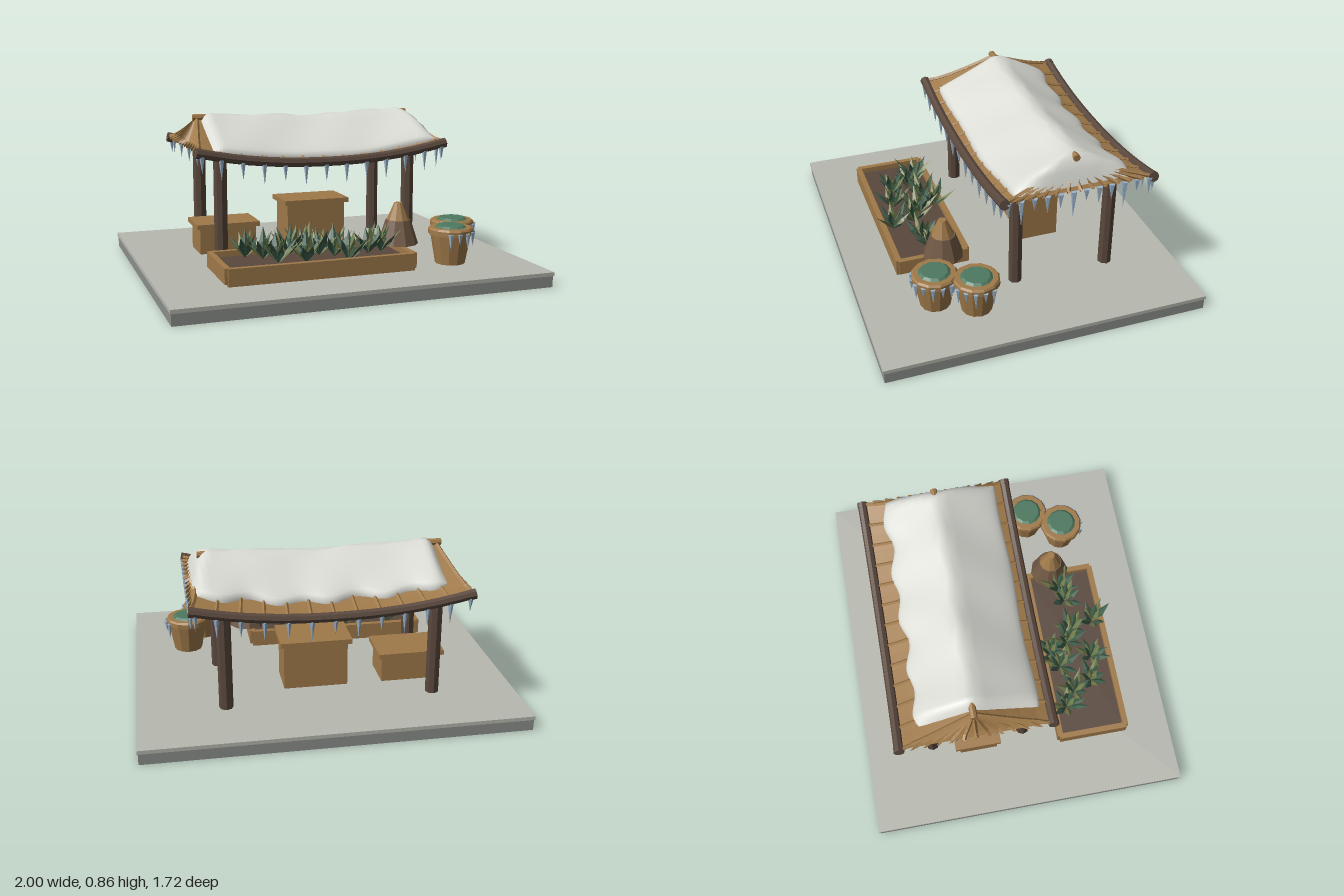
import * as THREE from 'three';
import { mergeGeometries } from 'three/addons/utils/BufferGeometryUtils.js';

const mat = (name, color, side = THREE.FrontSide) => {
  const m = new THREE.MeshStandardMaterial({ color, side });
  m.name = name;
  return m;
};
const V = (x, y, z) => new THREE.Vector3(x, y, z);

export function createModel() {
  const M = {
    slab: mat('paleStone', 0xb7b8b0), base: mat('greyStone', 0x8b8f8b),
    snow: mat('snow', 0xdcdcd6), wood: mat('tanWood', 0xa07a4a, THREE.DoubleSide),
    dark: mat('darkWood', 0x5a483d), soil: mat('soil', 0x62524a),
    bark: mat('brownThatch', 0x705844), ice: mat('ice', 0x9ab2c8),
    leafA: mat('darkLeaf', 0x3c5b48, THREE.DoubleSide), leafB: mat('oliveLeaf', 0x74804f, THREE.DoubleSide),
  };
  M.lid = mat('greenLid', 0x4e7860);
  M.soil = M.dark; // soil shares the dark brown
  const model = new THREE.Group();
  model.name = 'gardenShelter';

  let seed = 7;
  const rnd = () => (seed = (seed * 16807) % 2147483647) / 2147483647;

  // Facets a geometry and adds it as a named mesh
  const flat = (g) => {
    const f = g.index ? g.toNonIndexed() : g;
    f.computeVertexNormals();
    return f;
  };
  const add = (name, g, m, x = 0, y = 0, z = 0) => {
    const mesh = new THREE.Mesh(g, m);
    mesh.name = name;
    mesh.position.set(x, y, z);
    model.add(mesh);
    return mesh;
  };
  // Box given by its extents
  const box = (name, m, x0, x1, y0, y1, z0, z1) => add(name,
    new THREE.BoxGeometry(x1 - x0, y1 - y0, z1 - z0), m, (x0 + x1) / 2, (y0 + y1) / 2, (z0 + z1) / 2);
  // Grid surface from a rule f(i, j) -> Vector3
  const grid = (f, nu, nv, wrap = false) => {
    const pos = [], idx = [], row = nv + 1;
    for (let i = 0; i <= nu; i++) for (let j = 0; j <= nv; j++) pos.push(...f(i / nu, j / nv).toArray());
    for (let i = 0; i < nu; i++) for (let j = 0; j < nv; j++) {
      const k = wrap && j === nv - 1 ? 0 : j + 1;
      const a = i * row + j, b = a + row, c = i * row + k, d = c + row;
      idx.push(a, b, c, b, d, c);
    }
    const g = new THREE.BufferGeometry();
    g.setAttribute('position', new THREE.Float32BufferAttribute(pos, 3));
    g.setIndex(idx);
    g.computeVertexNormals();
    return g;
  };
  const tube = (pts, r, sides, n = 5) =>
    flat(new THREE.TubeGeometry(new THREE.CatmullRomCurve3(pts), n, r, sides));

  // Stone base
  box('baseFoot', M.base, -0.995, 0.995, 0, 0.06, -0.855, 0.855);
  box('baseSlab', M.slab, -1, 1, 0.06, 0.08, -0.86, 0.86);

  // Posts
  for (const x of [-0.56, 0.54]) for (const z of [0.03, -0.49])
    add('post', flat(new THREE.CylinderGeometry(0.037, 0.037, 0.61, 8)), M.dark, x, 0.385, z);

  // Roof shape: curved eaves and ridge, concave slopes
  const ZC = -0.245, HALF = 0.4;
  const eaveY = (u) => 0.612 + 0.073 * Math.abs(u) ** 2.2;
  const ridgeY = (u) => 0.79 + 0.037 * u * u;
  const drop = (u, v) => eaveY(u) + (ridgeY(u) - eaveY(u)) * Math.max(0, 1 - v) ** 1.3;
  const slope = (side, u, v) => V(u * (0.62 + 0.08 * v), drop(u, v), ZC + side * HALF * v);
  const hip = (side, s, t) => V(side * (0.62 + 0.08 * t), drop(1, t), ZC + HALF * s * t);
  const lift = (p, d) => V(p.x, p.y + d, p.z);
  const steps = [0, 0.25, 0.5, 0.75, 1];

  for (const side of [-1, 1]) {
    add('roofSlope', flat(grid((a, b) => slope(side, a * 2 - 1, b), 16, 5)), M.wood);
    add('roofEnd', flat(grid((a, b) => hip(side, a * 2 - 1, b), 10, 4)), M.wood);
    const ribs = [];
    for (let i = 0; i <= 12; i++)
      ribs.push(tube(steps.map((v) => lift(slope(side, i / 6 - 1, v), 0.004)), 0.009, 4));
    for (let i = 0; i <= 12; i++)
      ribs.push(tube([...steps, 1.12].map((t) => lift(hip(side, i / 6 - 1, Math.min(t, 1)), 0.004)
        .add(V(t > 1 ? side * 0.012 : 0, 0, 0))), 0.011, 4));
    add('roofRibs', mergeGeometries(ribs), M.wood);

    // Curved eave beam with capped ends
    const line = [];
    for (let i = 0; i <= 10; i++) line.push(slope(side, i / 5 - 1, 1));
    add('eaveBeam', tube(line, 0.026, 8, 16), M.dark);
    for (const e of [-1, 1]) {
      const cap = add('eaveBeamEnd', flat(new THREE.CylinderGeometry(0.028, 0.028, 0.03, 8)),
        M.dark, e * 0.7, 0.684, ZC + side * HALF);
      cap.rotation.z = Math.PI / 2 + e * 0.2;
    }
    // Ridge pole end
    const knob = add('ridgeEnd', flat(new THREE.CylinderGeometry(0.019, 0.019, 0.08, 8)), M.wood, side * 0.605, 0.834, ZC);
    knob.rotation.z = Math.PI / 2;
  }
  add('ridgePole', tube([-1, -0.5, 0, 0.5, 1].map((u) => V(u * 0.6, ridgeY(u) + 0.006, ZC)), 0.018, 8, 10), M.wood);

  // Snow blanket: rounded cross-sections laid along the roof
  const snowRule = (a, b) => {
    const x = -0.605 + 1.295 * a, ang = b * Math.PI * 2;
    const front = 0.1 + 0.006 * Math.sin(x * 9);
    const back = -0.532 - 0.016 * Math.cos(x * 23) - 0.006 * Math.sin(x * 11);
    const ends = Math.min(1, Math.sqrt(a * 26), Math.sqrt((1 - a) * 20));
    const z = (front + back) / 2 + Math.cos(ang) * (front - back) / 2 * (0.97 + 0.03 * ends);
    const cap = 0.866 - 0.11 * (Math.max(0, x - 0.57) / 0.12) ** 2 + 0.004 * Math.sin(x * 8);
    const under = Math.min(drop(x / 0.68, Math.abs(z - ZC) / HALF), cap - 0.05);
    const s = Math.sin(ang);
    const thick = 0.056 * ends * (1 + 0.08 * Math.sin(x * 13 + z * 9));
    return V(x, s > 0 ? Math.min(under + thick * s ** 0.55, cap) : under + 0.002, z);
  };
  add('snowBlanket', grid(snowRule, 54, 40, true), M.snow);

  // Icicles hanging along all eaves
  const icicle = (x, y, z, len, r) => {
    const g = new THREE.ConeGeometry(r, len, 5).rotateX(Math.PI);
    return flat(g.translate(x, y - len / 2, z));
  };
  const eaveIce = [];
  for (const side of [-1, 1]) for (let i = 0; i <= 12; i++) {
    const p = slope(side, Math.max(-0.98, Math.min(0.98, i / 6 - 1)), 1);
    eaveIce.push(icicle(p.x, p.y - 0.015, p.z + side * 0.01, i % 2 ? 0.11 : 0.07 + rnd() * 0.03, 0.015));
  }
  for (let i = 0; i <= 11; i++) {
    const s = i / 5.5 - 1;
    eaveIce.push(icicle(0.705, 0.685, ZC + HALF * s * 0.95, [0.1, 0.07, 0.15, 0.09][i % 4], 0.017));
    if (i % 3 === 1) eaveIce.push(icicle(-0.69, 0.685, ZC + HALF * s * 0.95, 0.08, 0.013));
  }
  add('eaveIcicles', mergeGeometries(eaveIce), M.ice);

  // Storage chests
  const chest = (x0, x1, top) => {
    box('chestBody', M.wood, x0 + 0.02, x1 - 0.02, 0.08, top - 0.026, -0.34, -0.13);
    box('chestLid', M.wood, x0, x1, top - 0.026, top, -0.365, -0.11);
  };
  chest(-0.15, 0.235, 0.355);
  chest(-0.66, -0.3, 0.25);

  // Planter
  box('planterFront', M.wood, -0.67, 0.32, 0.09, 0.18, 0.59, 0.62);
  box('planterBack', M.wood, -0.67, 0.32, 0.09, 0.18, 0.215, 0.245);
  box('planterLeftEnd', M.wood, 0.305, 0.335, 0.1, 0.181, 0.227, 0.608);
  box('planterRightEnd', M.wood, -0.685, -0.655, 0.1, 0.181, 0.227, 0.608);
  box('planterSoil', M.soil, -0.66, 0.31, 0.085, 0.15, 0.24, 0.595);

  // Folded leaf pointing up, then leaned and turned
  const leaf = (len, w, lean, turn) => {
    const g = new THREE.BufferGeometry();
    g.setAttribute('position', new THREE.Float32BufferAttribute([
      0, 0, 0, w, len * 0.5, 0.008, 0, len * 0.5, -0.004, 0, 0, 0, 0, len * 0.5, -0.004, -w, len * 0.5, 0.008,
      w, len * 0.5, 0.008, 0, len, 0.012, 0, len * 0.5, -0.004, 0, len * 0.5, -0.004, 0, len, 0.012, -w, len * 0.5, 0.008], 3));
    g.computeVertexNormals();
    return g.rotateX(lean).rotateY(turn);
  };
  const clumps = [[-0.5, 0.3], [-0.42, 0.36], [-0.37, 0.47], [-0.26, 0.31], [-0.17, 0.27], [-0.23, 0.5],
    [-0.12, 0.38], [-0.05, 0.42], [-0.02, 0.55], [0.14, 0.42], [0.22, 0.4]];
  for (const [x, z] of clumps) {
    const sets = [[], []];
    for (let k = 0; k < 11; k++) {
      const inner = k > 6;
      sets[k % 2].push(leaf(0.13 + rnd() * 0.05, 0.018 + rnd() * 0.005,
        inner ? 0.1 + rnd() * 0.25 : 0.45 + rnd() * 0.3, k * 0.9 + rnd() * 0.5));
    }
    add('plantDarkLeaves', mergeGeometries(sets[0]), M.leafA, x, 0.15, z);
    add('plantOliveLeaves', mergeGeometries(sets[1]), M.leafB, x, 0.15, z);
  }

  // Conical cover on the planter rim
  add('coneSkirt', flat(new THREE.CylinderGeometry(0.068, 0.11, 0.13, 10)), M.bark, 0.335, 0.245, 0.365);
  add('coneTop', flat(new THREE.CylinderGeometry(0.022, 0.062, 0.092, 10)), M.wood, 0.335, 0.356, 0.365);

  // Pots with lids and icicles
  const profile = [[0, 0.08], [0.08, 0.08], [0.108, 0.238], [0.121, 0.24], [0.121, 0.266], [0.112, 0.276], [0.088, 0.276], [0, 0.27]]
    .map(([r, y]) => new THREE.Vector2(r, y));
  for (const [x, z] of [[0.695, 0.295], [0.59, 0.485]]) {
    add('pot', flat(new THREE.LatheGeometry(profile, 12)), M.wood, x, 0, z);
    add('potLid', flat(new THREE.CylinderGeometry(0.07, 0.093, 0.018, 12)), M.lid, x, 0.278, z);
    const ice = [];
    for (let k = 0; k < 7; k++) {
      const a = -0.5 + k * 0.42;
      ice.push(icicle(0.12 * Math.cos(a), 0.255, 0.12 * Math.sin(a), k % 2 ? 0.06 : 0.09, 0.014));
    }
    add('potIcicles', mergeGeometries(ice), M.ice, x, 0, z);
  }
  return model;
}
